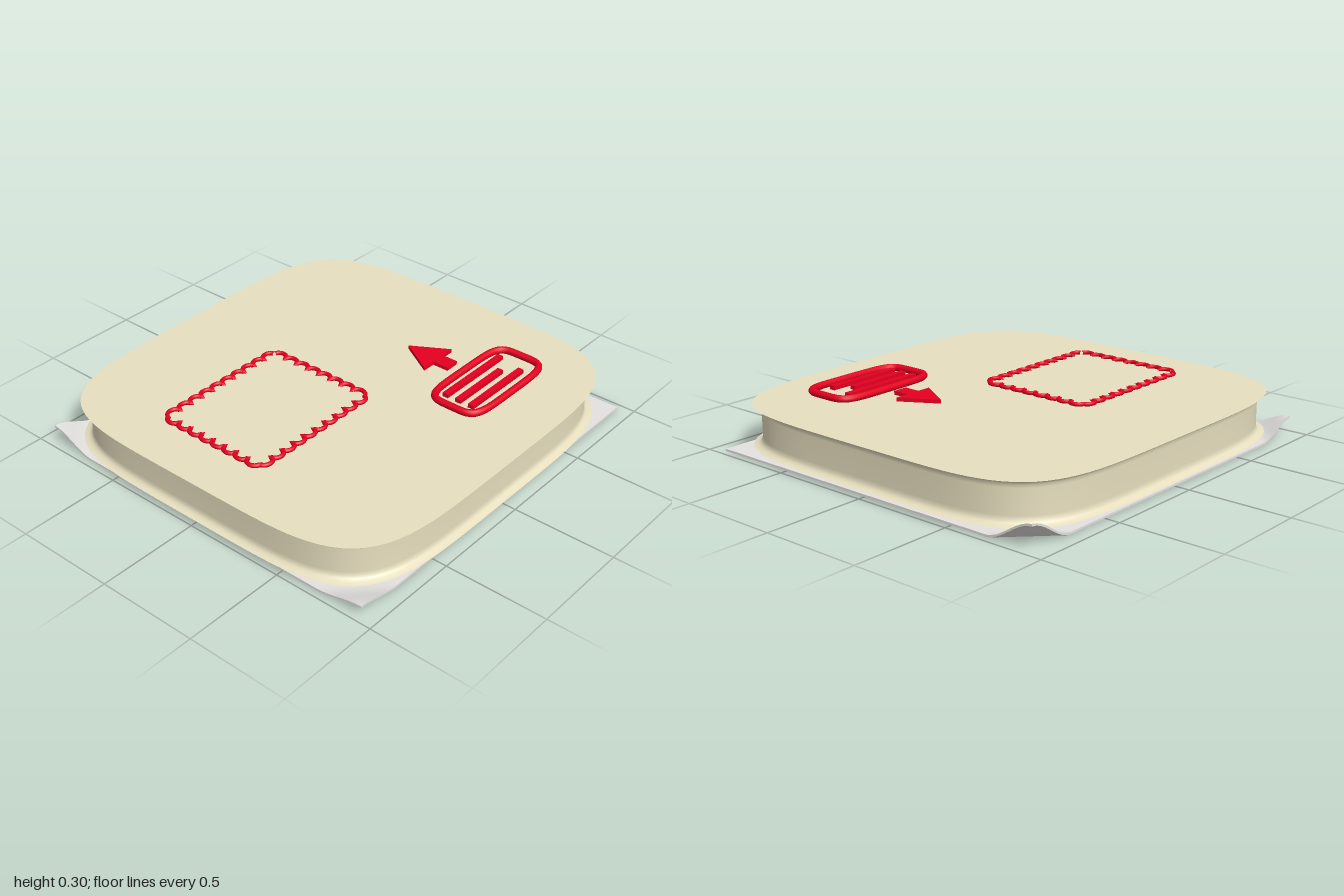
import * as THREE from 'three';
import { mergeGeometries } from 'three/addons/utils/BufferGeometryUtils.js';

const material = (name, color) => {
  const m = new THREE.MeshStandardMaterial({ color });
  m.name = name;
  return m;
};

// Point of a rounded square (superellipse) with half sizes a and b.
function squircle(angle, a, b, n) {
  const s = Math.sin(angle), c = Math.cos(angle);
  const r = (Math.abs(s / a) ** n + Math.abs(c / b) ** n) ** (-1 / n);
  return [s * r, c * r];
}

// Lathe body whose round rings are moved onto a rounded square.
function bodyGeometry() {
  const top = 0.238, bottom = 0.04;
  const flare = [[1, 0], [0.985, 0.004], [0.973, 0.012], [0.967, 0.024], [0.965, 0.04]];
  const profile = [
    [0, bottom], [1, bottom],
    ...flare.map(([r, d]) => [r, bottom + d]),
    ...flare.slice().reverse().map(([r, d]) => [r, top - d]),
    [1, top], [0, top],
  ].map(([r, y]) => new THREE.Vector2(r, y));
  const geo = new THREE.LatheGeometry(profile, 160);
  const pos = geo.attributes.position;
  for (let i = 0; i < pos.count; i++) {
    const x = pos.getX(i), z = pos.getZ(i), r = Math.hypot(x, z);
    const [sx, sz] = squircle(Math.atan2(x, z), 1, 0.96, 4.9);
    pos.setX(i, sx * r);
    pos.setZ(i, sz * r);
  }
  geo.computeVertexNormals();
  return geo;
}

// Thin sheet with corners that curl up by different heights.
function sheetGeometry() {
  const hx = 0.965, hz = 0.925, reach = 0.24;
  const corners = [[-1, 1, 0.04], [1, -1, 0.105], [-1, -1, 0.08]];
  const geo = new THREE.BoxGeometry(hx * 2, 0.01, hz * 2, 72, 1, 72);
  geo.translate(0, 0.005, 0);
  const pos = geo.attributes.position;
  for (let i = 0; i < pos.count; i++) {
    let y = pos.getY(i);
    for (const [sx, sz, lift] of corners) {
      const d = Math.abs(sx * hx - pos.getX(i)) + Math.abs(sz * hz - pos.getZ(i));
      y += lift * THREE.MathUtils.smoothstep(1 - d / reach, 0, 1);
    }
    pos.setY(i, y);
  }
  geo.computeVertexNormals();
  return geo;
}

// Scalloped frame: half rings along four sides, with a small spike at each joint.
function scallopGeometry() {
  const parts = [], step = 0.0695, cx = -0.385, cz = -0.112;
  const sides = [[10, 8, 0], [8, 10, 1], [10, 8, 2], [8, 10, 3]];
  for (const [count, across, turn] of sides) {
    const out = across * step / 2;
    for (let i = 0; i < count; i++) {
      const along = (i - (count - 1) / 2) * step;
      const bump = new THREE.TorusGeometry(step / 2, 0.012, 8, 12, Math.PI);
      bump.scale(1, 0.85, 0.85).rotateX(-Math.PI / 2).translate(along, 0, -out);
      bump.rotateY(turn * Math.PI / 2);
      parts.push(bump);
      if (i === 0) continue;
      const spike = new THREE.ConeGeometry(0.018, 0.03, 8);
      spike.scale(1, 1, 0.55).rotateX(Math.PI / 2).translate(along - step / 2, 0, -out + 0.004);
      spike.rotateY(turn * Math.PI / 2);
      parts.push(spike);
    }
  }
  return mergeGeometries(parts).translate(cx, 0.257, cz);
}

// Closed round tube along a rounded rectangle.
function labelFrameGeometry() {
  const points = [];
  for (let i = 0; i < 64; i++) {
    const [x, z] = squircle(i / 64 * Math.PI * 2, 0.279, 0.136, 5);
    points.push(new THREE.Vector3(0.405 + x, 0.279, 0.541 + z));
  }
  const path = new THREE.CatmullRomCurve3(points, true);
  return new THREE.TubeGeometry(path, 128, 0.0175, 10, true);
}

// Flat arrow pointing to the back.
function arrowGeometry() {
  const shape = new THREE.Shape([
    [0, 0.26], [0.106, 0.083], [0.037, 0.083], [0.037, 0],
    [-0.037, 0], [-0.037, 0.083], [-0.106, 0.083],
  ].map(([x, y]) => new THREE.Vector2(x, y)));
  const geo = new THREE.ExtrudeGeometry(shape, { depth: 0.018, bevelEnabled: false });
  return geo.rotateX(-Math.PI / 2).translate(0.403, 0.267, 0.339);
}

export function createModel() {
  const model = new THREE.Group();
  model.name = 'stampPad';
  const cream = material('cream', 0xe7dfbf);
  const paper = material('paper', 0xe5e3e1);
  const red = material('red', 0xe60020);
  const ink = material('ink', 0x222222);

  const add = (name, geo, mat, parent = model) => {
    const mesh = new THREE.Mesh(geo, mat);
    mesh.name = name;
    parent.add(mesh);
    return mesh;
  };

  add('body', bodyGeometry(), cream);
  add('sheet', sheetGeometry(), paper);
  add('scallopedFrame', scallopGeometry(), red);

  // Label with three lines, and an arrow behind it
  const label = new THREE.Group();
  label.name = 'label';
  model.add(label);
  add('labelFrame', labelFrameGeometry(), red, label);
  [[0.613, 0.467], [0.513, 0.538], [0.577, 0.609]].forEach(([end, z], i) => {
    const bar = new THREE.BoxGeometry(end - 0.18, 0.02, 0.03);
    add(`labelLine${i + 1}`, bar, red, label).position.set((end + 0.18) / 2, 0.279, z);
  });
  add('arrow', arrowGeometry(), red);

  // Thin ink marks between sheet and body
  for (const z of [-0.7, -0.55, 0.37, 0.5, 0.62, 0.7]) {
    const line = new THREE.BoxGeometry(1.4, 0.004, 0.012);
    add('inkLine', line, ink).position.set(0, 0.024, z);
  }
  for (let i = 0; i < 4; i++) {
    const mark = new THREE.BoxGeometry(0.6, 0.008, 0.05);
    add('inkMark', mark, ink).position.set(-0.38, 0.026, 0.08 - i * 0.12);
  }
  return model;
}
